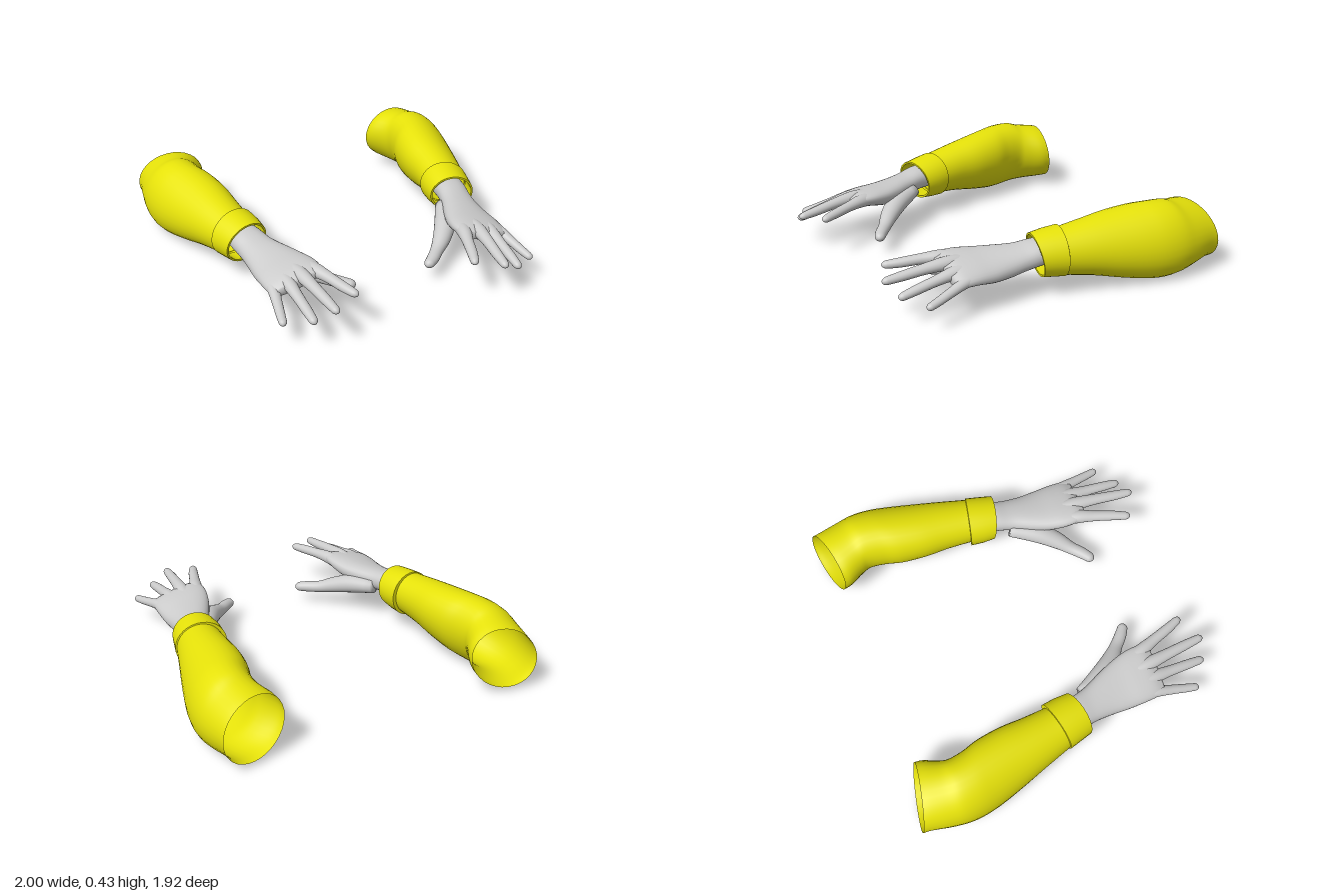
import * as THREE from 'three';
import { toCreasedNormals } from 'three/addons/utils/BufferGeometryUtils.js';

const SEG = 32;
const V = (x, y, z) => new THREE.Vector3(x, y, z);

// Skin a tube over elliptical sections {c, u, v}: centre, half-width and half-height vectors.
// side = -1 mirrors the result in x.
function loft(sections, side, { caps = false, pow = 1 } = {}) {
  const pos = [], idx = [];
  const tri = (a, b, c) => (side > 0 ? idx.push(a, b, c) : idx.push(a, c, b));
  const bend = (t) => Math.sign(t) * Math.abs(t) ** pow;
  for (const { c, u, v } of sections) {
    for (let j = 0; j < SEG; j++) {
      const a = (j / SEG) * Math.PI * 2;
      const p = c.clone().addScaledVector(u, bend(Math.cos(a))).addScaledVector(v, bend(Math.sin(a)));
      pos.push(p.x * side, p.y, p.z);
    }
  }
  const n = sections.length;
  for (let i = 0; i < n - 1; i++) {
    for (let j = 0; j < SEG; j++) {
      const k = (j + 1) % SEG, a = i * SEG, b = a + SEG;
      tri(a + j, a + k, b + k);
      tri(a + j, b + k, b + j);
    }
  }
  if (caps) {
    for (const [row, front] of [[0, false], [n - 1, true]]) {
      const c = sections[row].c, m = pos.length / 3;
      pos.push(c.x * side, c.y, c.z);
      for (let j = 0; j < SEG; j++) {
        const a = row * SEG + j, b = row * SEG + ((j + 1) % SEG);
        front ? tri(m, a, b) : tri(m, b, a);
      }
    }
  }
  const g = new THREE.BufferGeometry();
  g.setAttribute('position', new THREE.Float32BufferAttribute(pos, 3));
  g.setIndex(idx);
  g.computeVertexNormals();
  return g;
}

// Resample sections along smooth curves
function smooth(sections, steps) {
  const [c, u, v] = ['c', 'u', 'v'].map((k) => new THREE.CatmullRomCurve3(sections.map((s) => s[k]), false, 'catmullrom'));
  const n = (sections.length - 1) * steps;
  return Array.from({ length: n + 1 }, (_, i) => ({ c: c.getPoint(i / n), u: u.getPoint(i / n), v: v.getPoint(i / n) }));
}

// Section from inner and outer edge, bottom and top, and lean of the top in x and z
const ring = ([xi, zi, xo, zo, yb, yt, lx = 0, lz = 0]) => ({
  c: V((xi + xo) / 2, (yb + yt) / 2, (zi + zo) / 2),
  u: V((xo - xi) / 2, 0, (zo - zi) / 2),
  v: V(lx, (yt - yb) / 2, lz),
});

// Palm section: inner x, outer x, z, centre y, half thickness, drop to the outer side
const palmRing = ([xi, xo, z, y, h, drop]) => ({
  c: V((xi + xo) / 2, y, z), u: V((xo - xi) / 2, -drop, 0), v: V(0, h, 0),
});

// Round-tipped finger through points [x, y, z, radius]
function digit(points, side) {
  const path = new THREE.CatmullRomCurve3(points.map((p) => V(p[0], p[1], p[2])), false, 'catmullrom');
  const radii = new THREE.CatmullRomCurve3(points.map((p) => V(p[3], 0, 0)), false, 'catmullrom');
  const cap = 1 - ((points.at(-1)[3] * 1.3) / path.getLength()) * 1.2;
  const stops = [];
  for (let i = 0; i <= 18; i++) stops.push([(i / 18) * cap, 1]);
  for (let i = 1; i <= 6; i++) {
    const a = (i / 6) * Math.PI * 0.49;
    stops.push([cap + (1 - cap) * Math.sin(a), Math.cos(a)]);
  }
  const sections = stops.map(([t, k]) => {
    const d = path.getTangent(t), r = radii.getPoint(t).x * k;
    const u = V(0, 1, 0).cross(d).normalize();
    return { c: path.getPoint(t), u: u.clone().multiplyScalar(r), v: d.clone().cross(u).multiplyScalar(r * 0.92) };
  });
  return loft(sections, side, { caps: true });
}

const SLEEVE = [
  [0.58, -0.87, 0.96, -0.95, 0.03, 0.38, -0.02, 0.03],
  [0.59, -0.82, 0.965, -0.9, 0.03, 0.39, -0.02, 0.025],
  [0.63, -0.74, 0.985, -0.79, 0.02, 0.405, -0.03, 0.015],
  [0.648, -0.68, 0.997, -0.69, 0.01, 0.425, -0.035, 0],
  [0.635, -0.59, 0.992, -0.59, 0.005, 0.43, -0.035, 0],
  [0.605, -0.49, 0.97, -0.48, 0.015, 0.425, -0.035, 0],
  [0.585, -0.35, 0.927, -0.33, 0.045, 0.41, -0.03, 0],
  [0.58, -0.21, 0.88, -0.18, 0.08, 0.39, -0.02, 0],
  [0.57, -0.07, 0.83, -0.02, 0.105, 0.368, -0.01, 0],
  [0.565, -0.02, 0.815, 0.03, 0.11, 0.365, -0.01, 0],
];

// Folded band: step out, run forward, turn in, run back
const CUFF = [
  [0.57, -0.068, 0.825, -0.012, 0.108, 0.363, -0.01, 0],
  [0.547, -0.072, 0.834, -0.005, 0.098, 0.376, -0.01, 0],
  [0.537, 0.002, 0.815, 0.065, 0.104, 0.368, -0.01, 0.01],
  [0.536, 0.076, 0.795, 0.136, 0.112, 0.355, -0.01, 0.02],
  [0.548, 0.077, 0.784, 0.134, 0.123, 0.344, -0.01, 0.02],
  [0.558, -0.04, 0.81, 0.02, 0.118, 0.355, -0.01, 0],
];

const PALM = [
  [0.59, 0.765, -0.04, 0.25, 0.066, 0],
  [0.568, 0.757, 0.1, 0.25, 0.068, 0.005],
  [0.54, 0.742, 0.2, 0.235, 0.067, 0.01],
  [0.495, 0.738, 0.3, 0.225, 0.07, 0.018],
  [0.455, 0.742, 0.4, 0.225, 0.066, 0.025],
  [0.43, 0.743, 0.5, 0.235, 0.056, 0.03],
  [0.43, 0.738, 0.58, 0.238, 0.046, 0.034],
  [0.455, 0.722, 0.635, 0.234, 0.026, 0.032],
];

const DIGITS = {
  thumb: [[0.56, 0.215, 0.18, 0.045], [0.488, 0.185, 0.33, 0.06], [0.415, 0.152, 0.425, 0.052],
    [0.345, 0.125, 0.492, 0.038], [0.285, 0.114, 0.55, 0.035], [0.225, 0.108, 0.595, 0.027]],
  indexFinger: [[0.495, 0.25, 0.46, 0.04], [0.465, 0.264, 0.58, 0.041], [0.43, 0.262, 0.68, 0.032],
    [0.393, 0.253, 0.79, 0.029], [0.356, 0.246, 0.885, 0.022]],
  middleFinger: [[0.56, 0.25, 0.46, 0.04], [0.55, 0.262, 0.59, 0.041], [0.536, 0.255, 0.72, 0.033],
    [0.52, 0.24, 0.85, 0.029], [0.508, 0.228, 0.963, 0.022]],
  ringFinger: [[0.635, 0.235, 0.46, 0.04], [0.628, 0.236, 0.59, 0.04], [0.625, 0.217, 0.71, 0.031],
    [0.622, 0.193, 0.83, 0.028], [0.62, 0.172, 0.927, 0.022]],
  littleFinger: [[0.69, 0.21, 0.45, 0.038], [0.704, 0.207, 0.57, 0.034], [0.724, 0.185, 0.67, 0.028],
    [0.743, 0.163, 0.76, 0.025], [0.759, 0.148, 0.837, 0.021]],
};

export function createModel() {
  const skin = new THREE.MeshStandardMaterial({ color: 0xcccccc });
  const cloth = new THREE.MeshStandardMaterial({ color: 0xe6e20a, side: THREE.DoubleSide });
  const model = new THREE.Group();
  model.name = 'pairOfArms';

  for (const side of [1, -1]) {
    const arm = new THREE.Group();
    arm.name = side > 0 ? 'leftArm' : 'rightArm';
    const add = (name, geometry, material) => {
      const mesh = new THREE.Mesh(geometry, material);
      mesh.name = name;
      arm.add(mesh);
    };
    add('sleeve', loft(smooth(SLEEVE.map(ring), 5), side), cloth);
    add('cuff', toCreasedNormals(loft(CUFF.map(ring), side), 0.7), cloth);
    add('wristAndPalm', loft(smooth(PALM.map(palmRing), 5), side, { caps: true, pow: 0.9 }), skin);
    for (const [name, points] of Object.entries(DIGITS)) add(name, digit(points, side), skin);
    model.add(arm);
  }
  return model;
}
